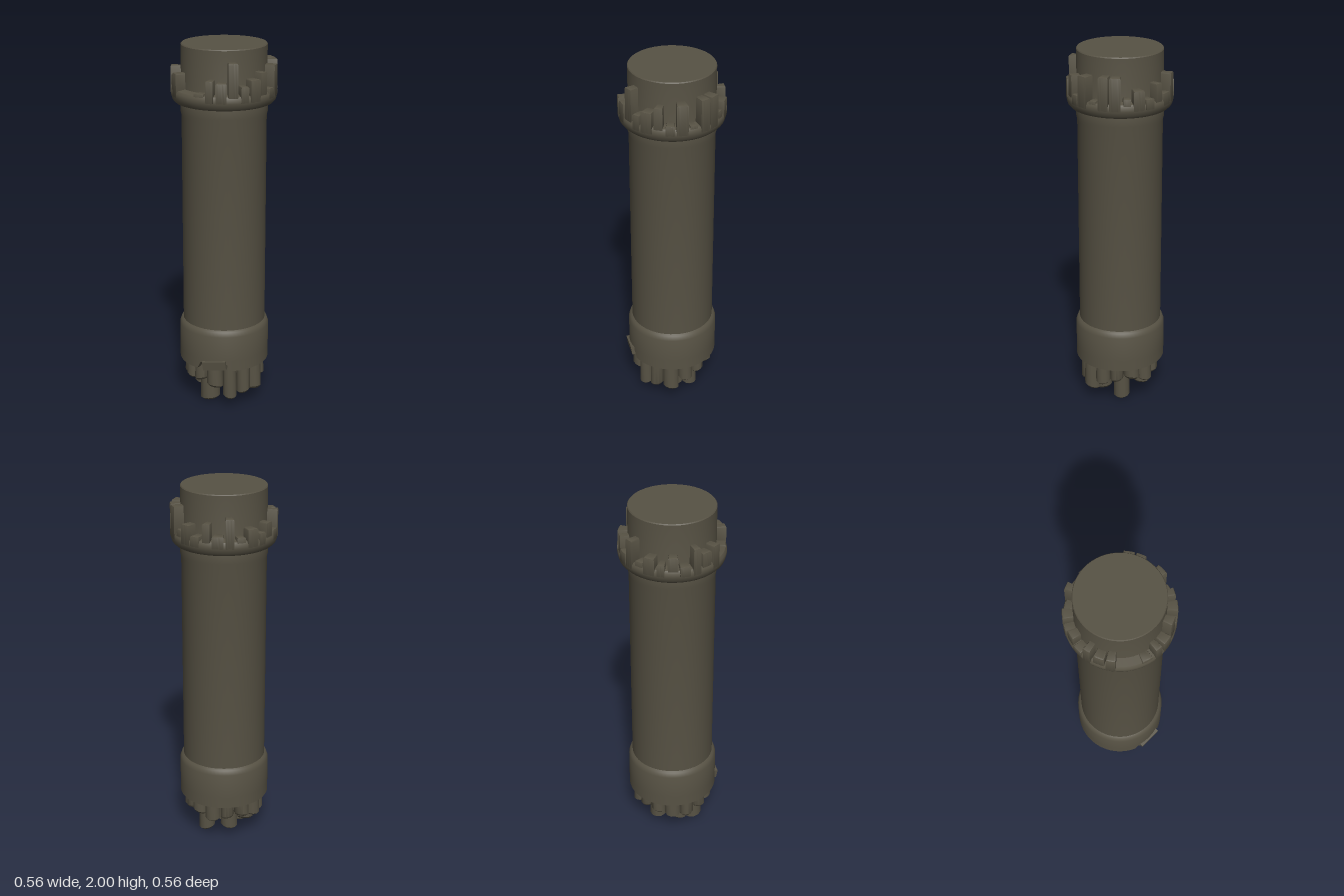
import * as THREE from 'three';
import { toCreasedNormals } from 'three/addons/utils/BufferGeometryUtils.js';

const V = (x, y) => new THREE.Vector2(x, y);

export function createModel() {
  const model = new THREE.Group();
  const metal = new THREE.MeshStandardMaterial({ color: 0x575244 });

  const add = (name, geo, parent = model) => {
    const mesh = new THREE.Mesh(toCreasedNormals(geo, 0.65), metal);
    mesh.name = name;
    parent.add(mesh);
    return mesh;
  };
  const group = (name) => {
    const g = new THREE.Group();
    g.name = name;
    model.add(g);
    return g;
  };
  const lathe = (pts, sides = 56) =>
    new THREE.LatheGeometry(pts.map(([r, y]) => V(r, y)), sides);

  // Long shaft with a faint lip under the collar
  add('shaft', lathe([
    [0, 0.4], [0.225, 0.4], [0.225, 1.62], [0.23, 1.64], [0.23, 1.7],
    [0.226, 1.72], [0.226, 1.995], [0.222, 2], [0, 2],
  ]));

  // Lower sleeve, its bottom rim broken away at the front
  const sleeve = lathe([
    [0, 0.24], [0.232, 0.24], [0.245, 0.24], [0.245, 0.3], [0.245, 0.44],
    [0.236, 0.465], [0.222, 0.475],
  ], 72);
  const p = sleeve.attributes.position;
  for (let i = 0; i < p.count; i++) {
    const phi = Math.atan2(p.getX(i), p.getZ(i));
    const r = Math.hypot(p.getX(i), p.getZ(i));
    if (p.getY(i) < 0.25 && r > 0.1 && phi > 0.1 && phi < 0.8) p.setY(i, 0.28);
  }
  add('sleeve', sleeve);

  // Loose chip hanging in the break
  const chip = add('sleeveChip', new THREE.BoxGeometry(0.13, 0.05, 0.04));
  chip.position.set(0.112, 0.272, 0.203);
  chip.rotation.set(0.15, 0.5, 0.04);

  // Collar band, rounded underneath
  add('collarBand', lathe([
    [0.222, 1.685], [0.235, 1.69], [0.258, 1.695], [0.272, 1.71],
    [0.279, 1.735], [0.279, 1.755], [0.27, 1.768], [0.222, 1.775],
  ]));

  // Jagged tabs around the collar, by angle from the front towards +x
  const tops = [
    0, 1.78, 1.85, 1.84, 1.94, 1.82, 1.85, 1.88, 1.79, 1.9, 1.78, 1.91, 1.91, 1.8,
    1.84, 1.79, 1.86, 1.8, 1.89, 1.79, 1.83, 1.8, 1.84, 1.79, 1.88, 1.84, 1.86, 0,
  ];
  const tabs = group('collarTabs');
  const step = (Math.PI * 2) / tops.length;
  tops.forEach((top, i) => {
    if (!top) return;
    const half = step * (0.4 + 0.08 * Math.sin(i * 2.3));
    const mid = i * step - Math.PI / 2;
    const outer = 0.28 - 0.006 * (i % 3 === 1 ? 1 : 0);
    const shape = new THREE.Shape();
    shape.absarc(0, 0, outer, mid - half, mid + half, false);
    shape.absarc(0, 0, 0.216, mid + half, mid - half, true);
    const bevel = 0.008;
    const geo = new THREE.ExtrudeGeometry(shape, {
      depth: top - 1.73 - 2 * bevel, curveSegments: 4,
      bevelThickness: bevel, bevelSize: bevel, bevelOffset: -bevel, bevelSegments: 2,
    });
    geo.rotateX(-Math.PI / 2);
    geo.translate(0, 1.73 + bevel, 0);
    add('collarTab', geo, tabs);
  });

  // Broken strands: rounded rods with slanted ends
  const strands = group('strands');
  const strand = (x, z, r, end, slant, dir) => {
    const geo = lathe([
      [0, end], [r * 0.75, end], [r, end + 0.012], [r * 0.95, 0.27], [0, 0.27],
    ], 12);
    const q = geo.attributes.position;
    for (let i = 0; i < q.count; i++) {
      if (q.getY(i) > 0.25) continue;
      const s = (q.getX(i) * Math.cos(dir) + q.getZ(i) * Math.sin(dir)) * slant;
      q.setY(i, Math.max(0, q.getY(i) + s));
    }
    add('strand', geo, strands).position.set(x, 0, z);
  };

  const outerEnds = [0.15, 0.12, 0.06, 0.08, 0.07, 0.13, 0.15, 0.16, 0.14, 0.15, 0.15, 0.14, 0.12, 0.14];
  outerEnds.forEach((end, i) => {
    const a = (i / outerEnds.length) * Math.PI * 2;
    const r = 0.041 + 0.005 * Math.sin(i * 1.9);
    strand(0.182 * Math.sin(a), 0.182 * Math.cos(a), r, end, 0.25, i * 1.7);
  });
  [
    [0, 0.115, 0.055, 0.008, 0.15], [0.03, -0.105, 0.045, 0.015, 0.2],
    [-0.105, 0.055, 0.05, 0.065, 0.3], [-0.1, -0.06, 0.048, 0.06, 0.2],
    [0.1, 0.04, 0.045, 0.07, 0.3], [0.115, -0.05, 0.045, 0.06, 0.2],
    [0, 0, 0.055, 0.05, 0.25],
  ].forEach(([x, z, r, end, slant], i) => strand(x, z, r, end, slant, i * 2.1));

  return model;
}
